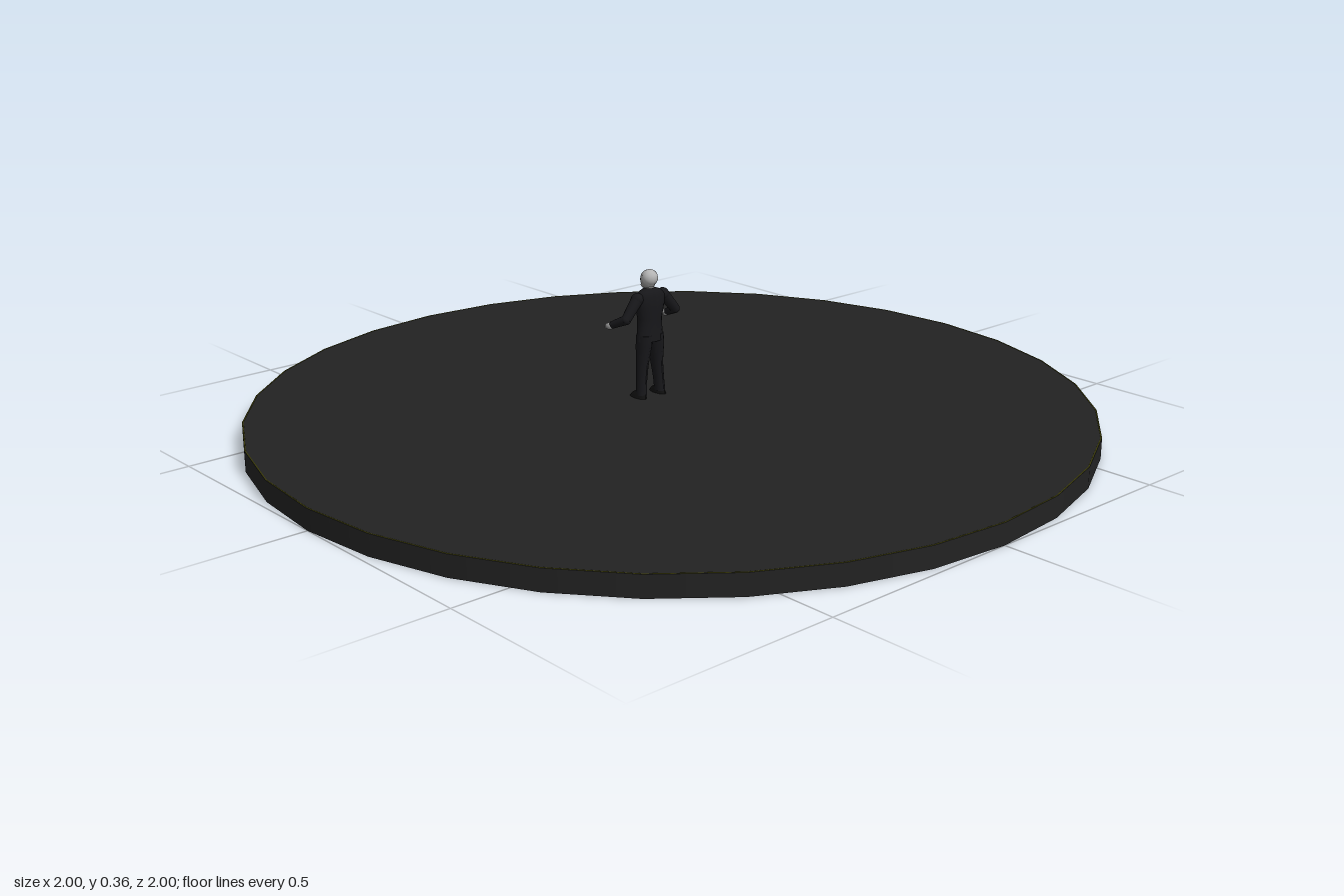
import * as THREE from 'three';

const mat = (name, color) => {
  const m = new THREE.MeshStandardMaterial({ color });
  m.name = name;
  return m;
};

// Stacks elliptical rings [x, y, z, rx, rz], listed from top to bottom
function loft(rings, sides = 14) {
  const n = rings.length - 1;
  const geo = new THREE.CylinderGeometry(1, 1, 1, sides, n);
  const p = geo.attributes.position;
  for (let i = 0; i < p.count; i++) {
    const [x, y, z, rx, rz] = rings[Math.round((0.5 - p.getY(i)) * n)];
    p.setXYZ(i, x + p.getX(i) * rx, y, z + p.getZ(i) * rz);
  }
  geo.computeVertexNormals();
  return geo;
}

export function createModel() {
  const model = new THREE.Group();
  const stone = mat('dark stone', 0x222222);
  const edge = mat('olive edge', 0x3c3c08);
  const suit = mat('black suit', 0x17171a);
  const shoe = mat('black leather', 0x111111);
  const skin = mat('grey skin', 0x929292);
  const hair = mat('light grey hair', 0xb4b4b4);

  const add = (name, geo, material, parent = model) => {
    const mesh = new THREE.Mesh(geo, material);
    mesh.name = name;
    parent.add(mesh);
    return mesh;
  };
  const ball = (name, material, pos, size, parent) => {
    const m = add(name, new THREE.SphereGeometry(1, 14, 10), material, parent);
    m.position.set(...pos);
    m.scale.set(...size);
    return m;
  };
  const limb = (name, material, a, b, ra, rb, parent) => {
    const from = new THREE.Vector3(...a), to = new THREE.Vector3(...b);
    const dir = to.clone().sub(from);
    const m = add(name, new THREE.CylinderGeometry(rb, ra, dir.length(), 12), material, parent);
    m.position.copy(from).addScaledVector(dir, 0.5);
    m.quaternion.setFromUnitVectors(new THREE.Vector3(0, 1, 0), dir.normalize());
    return m;
  };

  // Round platform with a thin rim line
  const disc = add('platform', new THREE.CylinderGeometry(1, 1, 0.05, 32), stone);
  disc.position.y = 0.025;
  const rim = add('platformRim', new THREE.TorusGeometry(0.998, 0.002, 6, 32), edge);
  rim.rotation.x = Math.PI / 2;
  rim.position.y = 0.049;

  // Standing figure, facing the back of the platform
  const figure = new THREE.Group();
  figure.name = 'figure';
  model.add(figure);

  add('jacket', loft([
    [0, 0.318, -0.078, 0.012, 0.012],
    [0, 0.311, -0.077, 0.030, 0.018],
    [0, 0.300, -0.076, 0.043, 0.022],
    [0, 0.275, -0.077, 0.040, 0.025],
    [0, 0.245, -0.078, 0.033, 0.024],
    [0, 0.220, -0.078, 0.034, 0.024],
    [0, 0.190, -0.077, 0.037, 0.024],
  ], 18), suit, figure);

  // Head with hair, beard and nose
  add('neck', loft([[0, 0.328, -0.08, 0.011, 0.012], [0, 0.312, -0.078, 0.012, 0.012]]), skin, figure);
  ball('head', skin, [0, 0.336, -0.083], [0.018, 0.024, 0.020], figure);
  ball('hair', hair, [0, 0.342, -0.077], [0.020, 0.020, 0.020], figure);
  ball('beard', hair, [0, 0.323, -0.093], [0.012, 0.009, 0.010], figure);
  ball('nose', skin, [0, 0.335, -0.103], [0.003, 0.004, 0.004], figure);

  for (const s of [1, -1]) {
    const side = s > 0 ? 'left' : 'right';

    // Arm held out and bent forward
    const shoulder = [s * 0.040, 0.296, -0.076];
    const elbow = [s * 0.077, 0.253, -0.074];
    const wrist = [s * 0.088, 0.235, -0.112];
    const arm = new THREE.Group();
    arm.name = side + 'Arm';
    figure.add(arm);
    ball('shoulder', suit, shoulder, [0.015, 0.015, 0.016], arm);
    limb('upperArm', suit, shoulder, elbow, 0.015, 0.012, arm);
    ball('elbow', suit, elbow, [0.012, 0.012, 0.012], arm);
    limb('forearm', suit, elbow, wrist, 0.012, 0.009, arm);
    ball('hand', skin, [s * 0.089, 0.230, -0.122], [0.007, 0.008, 0.012], arm);
    limb('fingers', skin, [s * 0.088, 0.229, -0.126], [s * 0.085, 0.224, -0.140], 0.005, 0.003, arm);
    limb('thumb', skin, [s * 0.085, 0.232, -0.120], [s * 0.077, 0.232, -0.128], 0.003, 0.002, arm);

    // Trouser leg
    add(side + 'Leg', loft([
      [s * 0.017, 0.205, -0.077, 0.018, 0.022],
      [s * 0.019, 0.180, -0.077, 0.018, 0.022],
      [s * 0.023, 0.130, -0.079, 0.014, 0.017],
      [s * 0.027, 0.090, -0.077, 0.012, 0.015],
      [s * 0.029, 0.058, -0.075, 0.012, 0.015],
    ]), suit, figure);

    // Shoe
    add(side + 'Shoe', loft([
      [s * 0.029, 0.068, -0.075, 0.009, 0.012],
      [s * 0.030, 0.060, -0.082, 0.011, 0.022],
      [s * 0.031, 0.050, -0.085, 0.012, 0.027],
    ]), shoe, figure);
  }
  return model;
}
